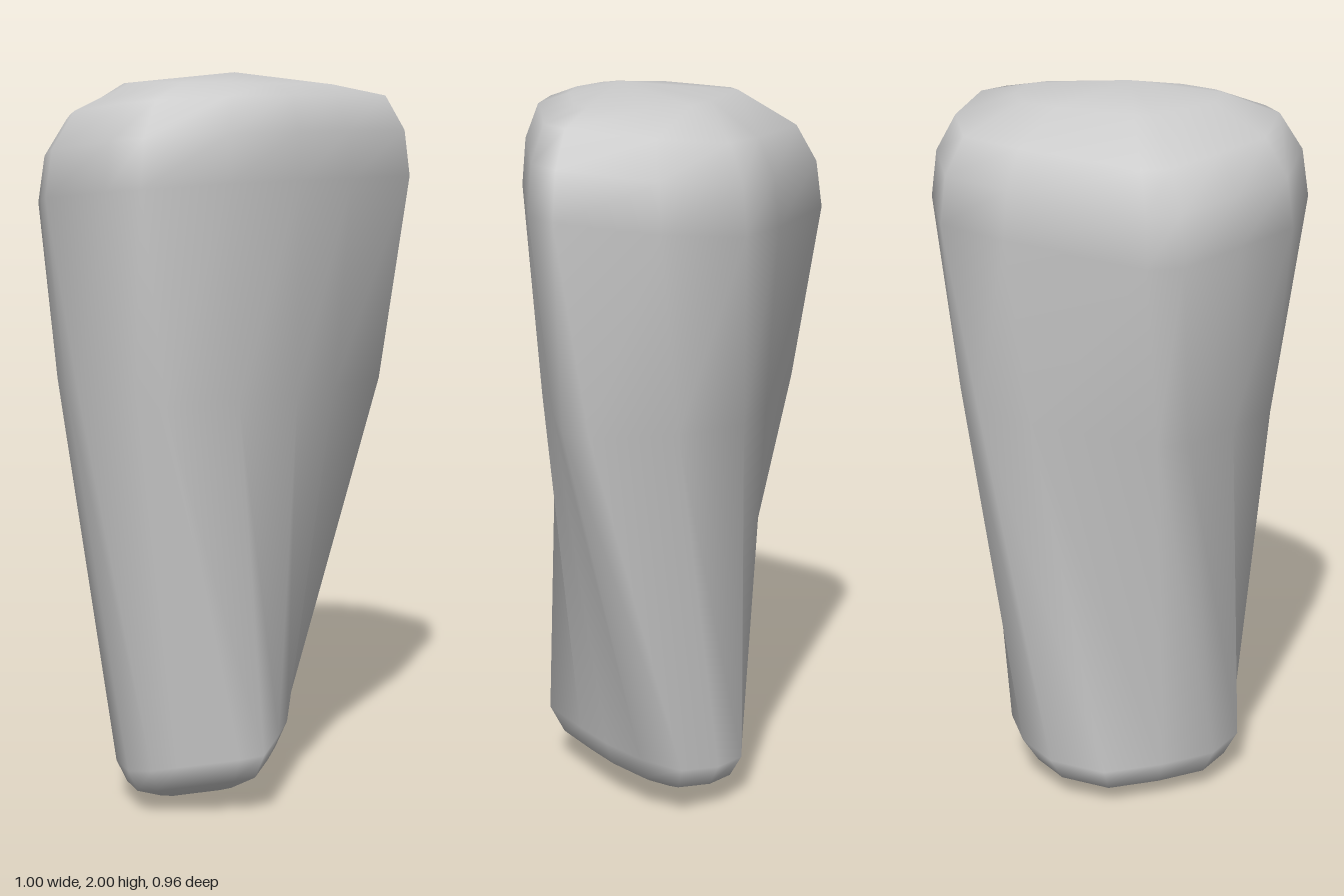
import * as THREE from 'three';
import { mergeVertices } from 'three/addons/utils/BufferGeometryUtils.js';

// Matching outlines as [x, z]: widest near the top, at the waist, and narrow at the foot
const TOP = [[.16, .37], [-.04, .47], [-.13, .48], [-.34, .35], [-.42, .18], [-.5, 0], [-.48, -.09],
  [-.15, -.36], [.03, -.48], [.26, -.45], [.48, -.31], [.5, -.22], [.39, 0], [.3, .19]];
const WAIST = [[.16, .275], [0, .4], [-.07, .425], [-.26, .335], [-.35, .195], [-.435, .04], [-.425, -.04],
  [-.16, -.3], [-.02, -.405], [.18, -.405], [.385, -.31], [.42, -.235], [.34, -.035], [.28, .135]];
const FOOT = [[.215, .06], [.22, .23], [.16, .26], [0, .3], [-.07, .32], [-.14, .31], [-.21, .21],
  [-.225, .05], [-.22, -.12], [-.13, -.25], [-.02, -.3], [.1, -.3], [.17, -.2], [.205, -.07]];

// One closed ring: the outline scaled about (cx, cz), with a slight tilt in height
function ring(outline, y, scale, { cx = 0, cz = 0, tiltX = 0, tiltZ = 0 } = {}) {
  return outline.map(([px, pz]) => {
    const x = cx + (px - cx) * scale, z = cz + (pz - cz) * scale;
    return [x, y + tiltX * x + tiltZ * z, z];
  });
}

// Skin the rings from bottom to top; the first and last rings are single points
function loft(rings) {
  const n = rings[0].length, index = [];
  for (let j = 0; j < rings.length - 1; j++) {
    for (let i = 0; i < n; i++) {
      const k = (i + 1) % n;
      const a = j * n + i, b = j * n + k, c = a + n, d = b + n;
      if (j === 0) index.push(a, c, d);
      else index.push(a, c, b);
      if (j > 0 && j < rings.length - 2) index.push(b, c, d);
    }
  }
  const geometry = new THREE.BufferGeometry();
  geometry.setAttribute('position', new THREE.Float32BufferAttribute(rings.flat(2), 3));
  geometry.setIndex(index);
  const merged = mergeVertices(geometry, 1e-4);
  merged.computeVertexNormals();
  return merged;
}

export function createModel() {
  const footCap = { cx: -.03, cz: .04, tiltX: .15 };
  const topCap = { cx: .07, cz: -.02, tiltX: .09, tiltZ: .06 };
  const rings = [
    // rounded foot
    ring(FOOT, 0, 0, { cx: -.04, cz: .06 }),
    ring(FOOT, .035, .52, footCap),
    ring(FOOT, .085, .87, footCap),
    ring(FOOT, .155, 1, footCap),
    // tapering body, twisting in its lower half
    ring(WAIST, 1.16, 1),
    ring(TOP, 1.69, 1, topCap),
    // rounded crown
    ring(TOP, 1.815, .965, topCap),
    ring(TOP, 1.91, .85, topCap),
    ring(TOP, 1.97, .55, { cx: .07, cz: .02, tiltZ: .02 }),
    ring(TOP, 2, 0, { cx: .08, cz: .05 }),
  ];
  const stone = new THREE.Mesh(loft(rings), new THREE.MeshStandardMaterial({ color: 0xcccccc }));
  stone.name = 'twistedStone';
  const group = new THREE.Group();
  group.name = 'stone';
  group.add(stone);
  return group;
}
